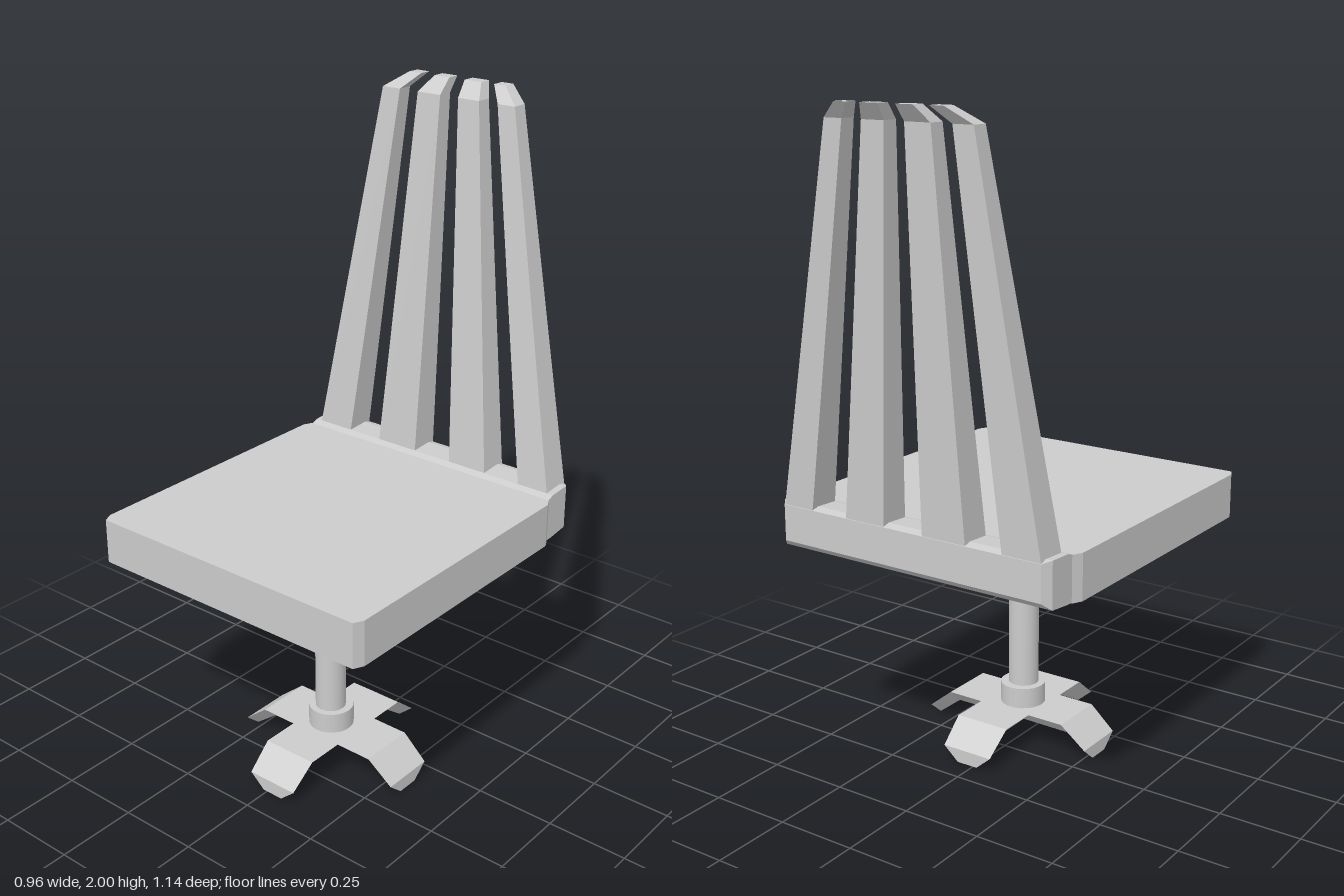
import * as THREE from 'three';

const flat = new THREE.MeshStandardMaterial({ color: 0xcccccc, flatShading: true });
const smooth = new THREE.MeshStandardMaterial({ color: 0xcccccc });

// Solid through convex rings, each counter-clockwise seen from the far end
function loft(rings) {
  const pos = [];
  const tri = (...pts) => pts.forEach((p) => pos.push(...p));
  const n = rings[0].length;
  for (let i = 0; i < rings.length - 1; i++) {
    for (let j = 0; j < n; j++) {
      const k = (j + 1) % n;
      const [a, b, c, d] = [rings[i][j], rings[i][k], rings[i + 1][k], rings[i + 1][j]];
      tri(a, b, c);
      tri(a, c, d);
    }
  }
  const start = rings[0], end = rings[rings.length - 1];
  for (let j = 1; j < n - 1; j++) {
    tri(start[0], start[j + 1], start[j]);
    tri(end[0], end[j], end[j + 1]);
  }
  const geo = new THREE.BufferGeometry();
  geo.setAttribute('position', new THREE.Float32BufferAttribute(pos, 3));
  geo.computeVertexNormals();
  return geo;
}

// Horizontal rectangle at height y
const rect = (y, x0, x1, z0, z1) => [[x0, y, z1], [x1, y, z1], [x1, y, z0], [x0, y, z0]];

export function createModel() {
  const chair = new THREE.Group();
  chair.name = 'swivelChair';
  const add = (name, geo, material = flat, parent = chair) => {
    const mesh = new THREE.Mesh(geo, material);
    mesh.name = name;
    parent.add(mesh);
    return mesh;
  };

  // Seat slab with clipped corners
  const outline = (y) => [
    [-0.465, 0.57], [0.465, 0.57], [0.48, 0.54], [0.48, -0.33],
    [0.465, -0.36], [-0.465, -0.36], [-0.48, -0.33], [-0.48, 0.54],
  ].map(([x, z]) => [x, y, z]);
  add('seat', loft([outline(0.697), outline(0.835)]));

  // Rail behind the seat that carries the slats
  const railSection = ([z, w, y0, y1]) => [[w, y0, z], [-w, y0, z], [-w, y1, z], [w, y1, z]];
  add('backRail', loft([
    [-0.355, 0.465, 0.7, 0.834], [-0.38, 0.465, 0.7, 0.843],
    [-0.455, 0.465, 0.708, 0.847], [-0.48, 0.445, 0.73, 0.84],
  ].map(railSection)));

  // Four tapered slats: x range at the foot, the bend and the tip
  const back = new THREE.Group();
  back.name = 'backrest';
  chair.add(back);
  [
    [-0.445, -0.32, -0.28, -0.215, -0.215, -0.17],
    [-0.2, -0.055, -0.148, -0.065, -0.12, -0.065],
    [0.08, 0.215, 0, 0.075, -0.01, 0.05],
    [0.34, 0.445, 0.14, 0.2, 0.095, 0.135],
  ].forEach(([a0, a1, b0, b1, c0, c1], i) => {
    add(`slat${i + 1}`, loft([
      rect(0.835, a0, a1, -0.478, -0.38),
      rect(1.955, b0, b1, -0.538, -0.488),
      rect(2, c0, c1, -0.573, -0.533),
    ]), flat, back);
  });

  // Square mount flaring out under the seat
  const mount = add('seatMount', loft([
    [0.63, 0.065, 0.065], [0.683, 0.1, 0.1], [0.699, 0.2, 0.155],
  ].map(([y, w, d]) => rect(y, -w, w, -d, d))));
  mount.position.set(0.008, 0, 0.12);

  // Column and its collar
  const column = add('column', new THREE.CylinderGeometry(0.047, 0.047, 0.48, 24), smooth);
  column.position.set(0.012, 0.4, 0.123);
  const collar = add('collar', new THREE.CylinderGeometry(0.07, 0.07, 0.075, 24), smooth);
  collar.position.set(0.012, 0.1375, 0.12);

  // Four feet in a cross, each wider on top and bent down at the end
  const base = new THREE.Group();
  base.name = 'base';
  base.position.set(0.022, 0, 0.12);
  chair.add(base);
  const footSection = ([z, y0, y1, w0, w1]) => [[-w0, y0, z], [w0, y0, z], [w1, y1, z], [-w1, y1, z]];
  const footGeometry = loft([
    [0, 0.065, 0.11, 0.04, 0.09], [0.21, 0.063, 0.11, 0.04, 0.09], [0.292, 0, 0.043, 0.035, 0.085],
  ].map(footSection));
  for (let i = 0; i < 4; i++) {
    add(`foot${i + 1}`, footGeometry, flat, base).rotation.y = (i * Math.PI) / 2;
  }

  return chair;
}
